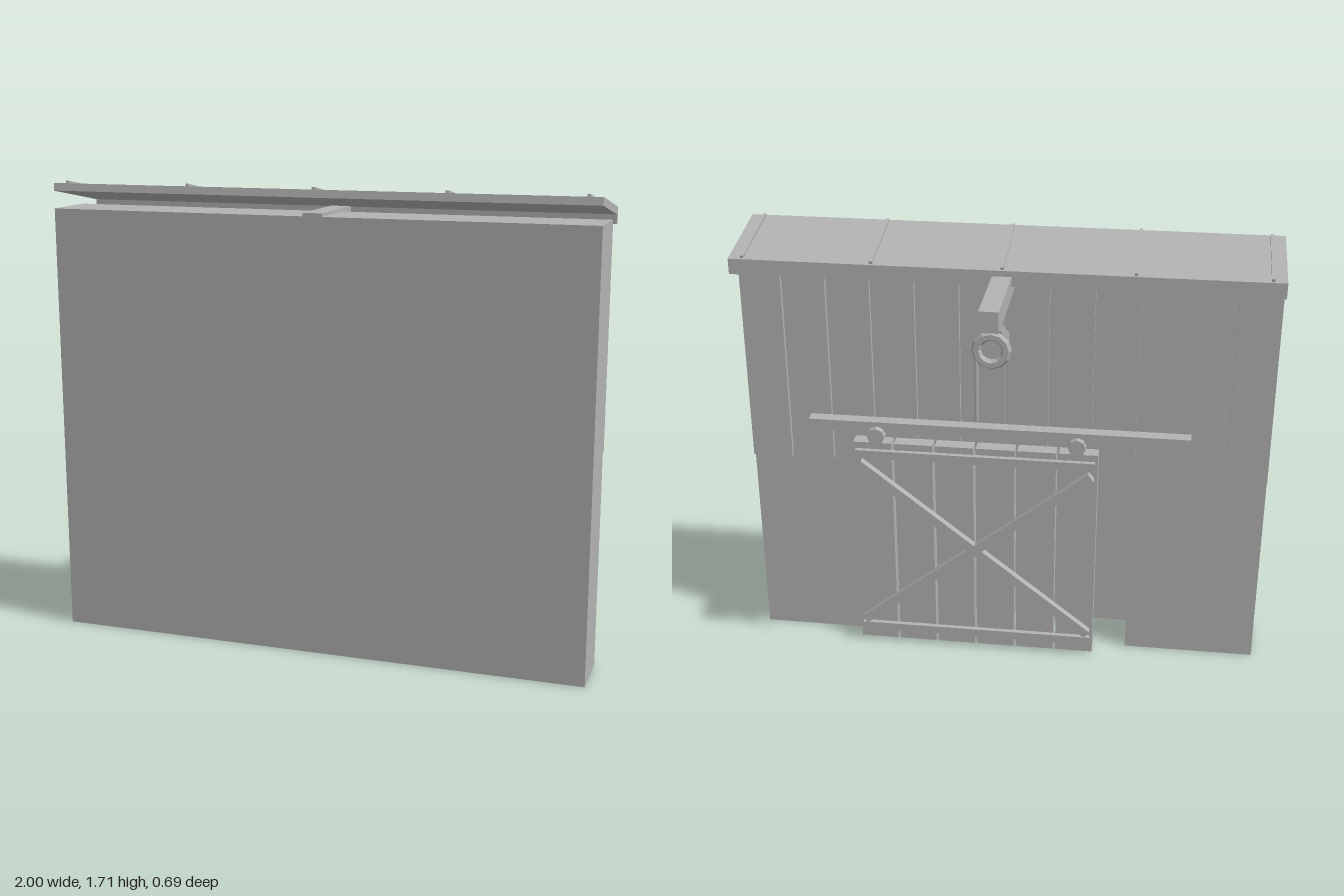
import * as THREE from 'three';

export function createModel() {
  const model = new THREE.Group();
  model.name = 'barnWall';
  const grey = new THREE.MeshStandardMaterial({ color: 0xb2b2b2 });
  grey.name = 'plain grey';

  function add(geometry, name, parent = model) {
    const mesh = new THREE.Mesh(geometry, grey);
    mesh.name = name;
    parent.add(mesh);
    return mesh;
  }
  // Box given by its lower and upper limits
  function box(name, [x0, y0, z0], [x1, y1, z1], parent) {
    const mesh = add(new THREE.BoxGeometry(x1 - x0, y1 - y0, z1 - z0), name, parent);
    mesh.position.set((x0 + x1) / 2, (y0 + y1) / 2, (z0 + z1) / 2);
    return mesh;
  }
  // Row of upright boards with narrow grooves between them
  function boards(name, count, [x0, y0, z0], [x1, y1, z1], gap, parent) {
    const pitch = (x1 - x0 + gap) / count;
    for (let i = 0; i < count; i++) {
      const x = x0 + i * pitch;
      box(name, [x, y0, z0], [x + pitch - gap, y1, z1], parent);
    }
  }

  // Wall: doorway outline extruded, closed by a thin panel at the front
  const outline = new THREE.Shape([
    [-1, 0], [-0.49, 0], [-0.49, 0.79], [0.49, 0.79], [0.49, 0], [1, 0], [1, 1.605], [-1, 1.605],
  ].map(([x, y]) => new THREE.Vector2(x, y)));
  add(new THREE.ExtrudeGeometry(outline, { depth: 0.19, bevelEnabled: false }), 'wall').position.z = 0.13;
  box('frontPanel', [-1, 0, 0.32], [1, 1.605, 0.345]);

  // Upper cladding
  boards('claddingBoard', 12, [-1, 0.79, 0.11], [1, 1.602, 0.13], 0.012);

  // Sliding door with rails and crossed braces
  const door = new THREE.Group();
  door.name = 'slidingDoor';
  model.add(door);
  const left = 0.585, right = -0.36;
  boards('doorBoard', 6, [right, 0.01, 0.055], [left, 0.9, 0.11], 0.01, door);
  for (const y of [0.055, 0.84]) {
    box('doorRail', [right + 0.01, y, 0.036], [left - 0.01, y + 0.033, 0.056], door);
  }
  const spanX = 0.9, spanY = 0.71;
  for (const side of [-1, 1]) {
    const brace = add(new THREE.BoxGeometry(Math.hypot(spanX, spanY), 0.035, 0.03), 'doorBrace', door);
    brace.position.set((left + right) / 2, 0.463, 0.039 + side * 0.001);
    brace.rotation.z = side * Math.atan2(spanY, spanX);
  }

  // Door track and rollers
  box('doorTrack', [-0.705, 0.945, 0.055], [0.755, 0.987, 0.105]);
  for (const x of [-0.28, 0.49]) {
    const roller = add(new THREE.CylinderGeometry(0.034, 0.034, 0.04, 8).toNonIndexed(), 'doorRoller');
    roller.geometry.computeVertexNormals();
    roller.rotation.x = Math.PI / 2;
    roller.position.set(x, 0.937, 0.05);
  }

  // Sloping roof with seams and a fascia along its low edge
  const roof = new THREE.Group();
  roof.name = 'roof';
  roof.position.set(0, 1.655, 0.173);
  roof.rotation.x = -Math.atan2(0.06, 0.345);
  model.add(roof);
  box('roofSlab', [-1, -0.015, -0.173], [1, 0.013, 0.173], roof);
  for (const x of [-0.95, -0.475, 0, 0.475, 0.95]) {
    box('roofSeam', [x - 0.006, 0.012, -0.165], [x + 0.006, 0.023, 0.165], roof);
  }
  box('fascia', [-1, 1.58, 0], [1, 1.638, 0.02]);

  // Hoist beam and its diagonal brace
  box('hoistBeam', [-0.035, 1.54, -0.345], [0.035, 1.617, 0.344]);
  const strut = add(new THREE.BoxGeometry(0.03, 0.034, 0.4), 'hoistBrace');
  strut.position.set(0, 1.442, -0.07);
  strut.rotation.x = Math.atan2(0.2, 0.34);

  // Pulley ring, pin and rope
  const ring = add(new THREE.TorusGeometry(0.053, 0.018, 6, 12).toNonIndexed(), 'pulleyRing');
  ring.geometry.computeVertexNormals();
  ring.position.set(0, 1.45, -0.273);
  add(new THREE.CylinderGeometry(0.008, 0.008, 0.04, 8), 'pulleyPin').position.set(0, 1.53, -0.273);
  add(new THREE.CylinderGeometry(0.007, 0.007, 0.27, 8), 'rope').position.set(0.053, 1.315, -0.273);

  return model;
}
